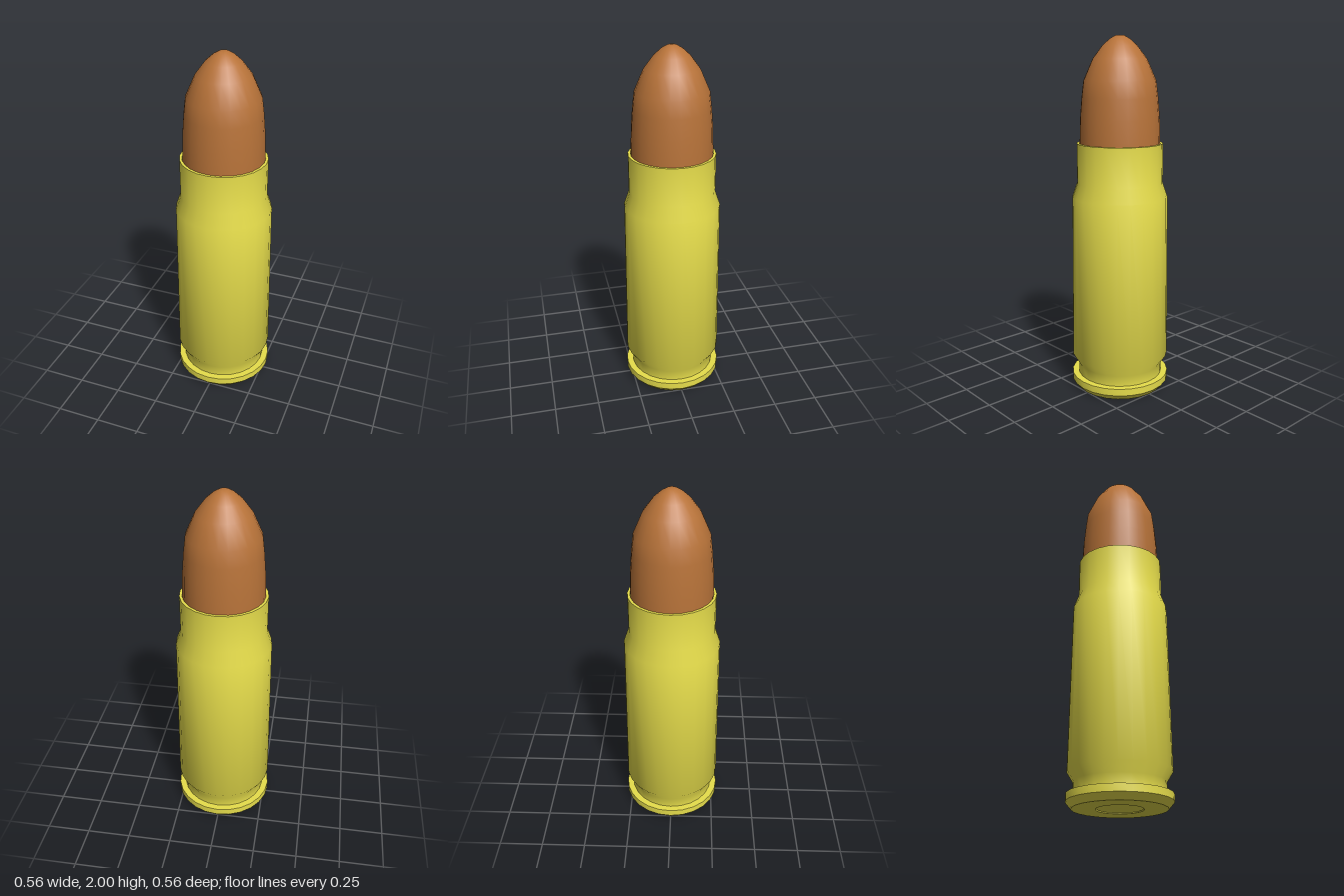
import * as THREE from 'three';
import { toCreasedNormals } from 'three/addons/utils/BufferGeometryUtils.js';

const SIDES = 24;

// Turn a [radius, height] profile, listed bottom to top, into a mesh
function turned(name, profile, material, crease = 0.7) {
  const points = profile.map(([r, y]) => new THREE.Vector2(r, y));
  const geometry = toCreasedNormals(new THREE.LatheGeometry(points, SIDES), crease);
  const mesh = new THREE.Mesh(geometry, material);
  mesh.name = name;
  return mesh;
}

export function createModel() {
  const group = new THREE.Group();
  group.name = 'cartridge';
  const brass = new THREE.MeshStandardMaterial({ color: 0xe6dd4b });
  const copper = new THREE.MeshStandardMaterial({ color: 0xb87339 });

  // Case: base, bevelled rim, extractor groove, tapered body, shoulder, neck and mouth
  group.add(turned('case', [
    [0.125, 0.008], [0.125, 0], [0.25, 0],
    [0.28, 0.035], [0.28, 0.075], [0.243, 0.075],
    [0.243, 0.135], [0.277, 0.19],
    [0.268, 1.12], [0.24, 1.2],
    [0.24, 1.42], [0.225, 1.42], [0.222, 1.38],
  ], brass));

  // Primer: shallow disc set in the base
  group.add(turned('primer', [[0, 0.004], [0.12, 0.004], [0.125, 0.008]], brass));

  // Bullet: rounded ogive seated in the mouth
  group.add(turned('bullet', [
    [0.224, 1.36], [0.223, 1.44], [0.219, 1.56], [0.21, 1.67], [0.199, 1.76],
    [0.148, 1.875], [0.095, 1.945], [0.055, 1.98], [0.025, 1.997], [0, 2],
  ], copper, 1.0));

  return group;
}
